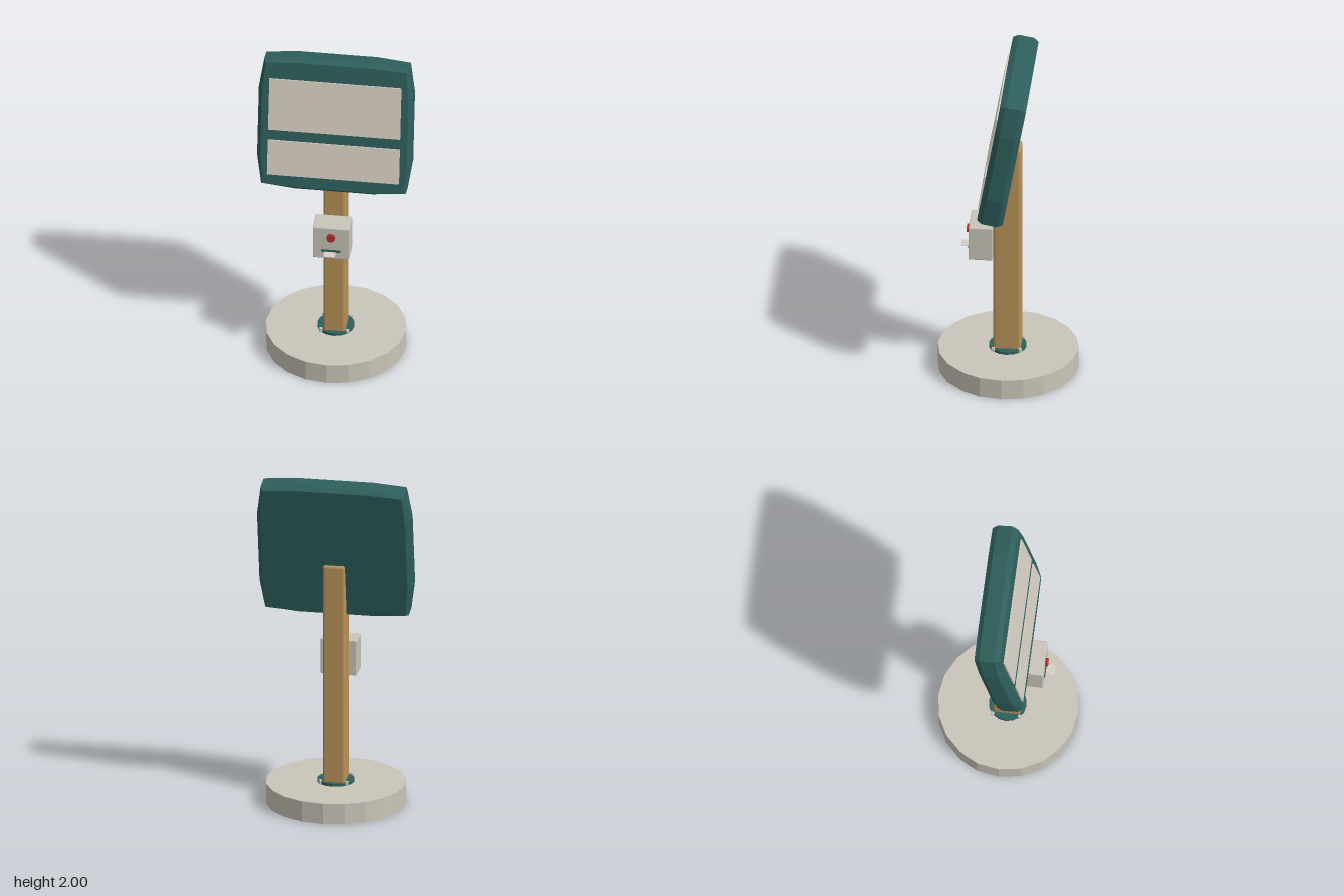
import * as THREE from 'three';
import { RoundedBoxGeometry } from 'three/addons/geometries/RoundedBoxGeometry.js';

const mat = (name, color) => {
  const m = new THREE.MeshStandardMaterial({ color });
  m.name = name;
  return m;
};

// Flat facets
function facet(geo) {
  const g = geo.index ? geo.toNonIndexed() : geo;
  g.computeVertexNormals();
  return g;
}

// Twelve-point outline mirrored from one quarter, counter-clockwise
function outline(quarter) {
  const back = [...quarter].reverse();
  return [
    ...quarter,
    ...back.map(([x, y]) => [-x, y]),
    ...quarter.map(([x, y]) => [-x, -y]),
    ...back.map(([x, y]) => [x, -y]),
  ];
}

// Closed solid through outlines stacked along z
function loft(rings) {
  const pos = [];
  const n = rings[0].pts.length;
  const at = (r, i) => [...rings[r].pts[i % n], rings[r].z];
  const tri = (a, b, c) => pos.push(...a, ...b, ...c);
  const last = rings.length - 1;
  for (let i = 0; i < n; i++) {
    for (let r = 0; r < last; r++) {
      tri(at(r, i), at(r, i + 1), at(r + 1, i + 1));
      tri(at(r, i), at(r + 1, i + 1), at(r + 1, i));
    }
    tri([0, 0, rings[last].z], at(last, i), at(last, i + 1));
    tri([0, 0, rings[0].z], at(0, i + 1), at(0, i));
  }
  const g = new THREE.BufferGeometry();
  g.setAttribute('position', new THREE.Float32BufferAttribute(pos, 3));
  return facet(g);
}

export function createModel() {
  const model = new THREE.Group();
  model.name = 'signPost';
  const stone = mat('stone', 0xc9c5b9);
  const teal = mat('teal', 0x2e5f5c);
  const wood = mat('wood', 0xb9935a);
  const cream = mat('cream', 0xd6cfc3);
  const red = mat('red', 0xb5302a);

  const add = (parent, name, geo, material, x, y, z) => {
    const mesh = new THREE.Mesh(geo, material);
    mesh.name = name;
    mesh.position.set(x, y, z);
    parent.add(mesh);
    return mesh;
  };

  // Base, collar and bolts
  add(model, 'base', facet(new THREE.CylinderGeometry(0.413, 0.413, 0.125, 20)), stone, 0, 0.0625, 0);
  add(model, 'collar', facet(new THREE.CylinderGeometry(0.11, 0.11, 0.016, 16)), teal, 0, 0.133, 0);
  for (const sx of [-1, 1]) {
    for (const sz of [-1, 1]) {
      add(model, 'bolt', facet(new THREE.CylinderGeometry(0.011, 0.011, 0.022, 6)), stone, sx * 0.079, 0.141, sz * 0.079);
    }
  }

  // Post
  add(model, 'post', facet(new RoundedBoxGeometry(0.13, 1.35, 0.16, 1, 0.012)), wood, 0, 0.805, 0);

  // Tilted sign board with chamfered rims
  const board = new THREE.Group();
  board.name = 'signBoard';
  board.position.y = 1.575;
  board.rotation.x = THREE.MathUtils.degToRad(-10);
  model.add(board);
  const rim = outline([[0.455, 0.22], [0.427, 0.404], [0.23, 0.423]]);
  const face = outline([[0.432, 0.22], [0.414, 0.39], [0.23, 0.402]]);
  add(board, 'boardBody', loft([
    { pts: face, z: -0.076 },
    { pts: rim, z: -0.045 },
    { pts: rim, z: 0.045 },
    { pts: face, z: 0.076 },
  ]), teal, 0, 0, 0);
  add(board, 'upperPanel', new THREE.BoxGeometry(0.78, 0.33, 0.009), cream, 0, 0.126, 0.0802);
  add(board, 'lowerPanel', new THREE.BoxGeometry(0.78, 0.223, 0.009), cream, 0, -0.217, 0.0802);

  // Control box with button, slot and ticket
  add(model, 'controlBox', facet(new RoundedBoxGeometry(0.216, 0.215, 0.14, 1, 0.005)), stone, 0, 0.8625, 0.15);
  const button = add(model, 'button', new THREE.CylinderGeometry(0.025, 0.025, 0.02, 12), red, 0, 0.908, 0.228);
  button.rotation.x = Math.PI / 2;
  add(model, 'slot', new THREE.BoxGeometry(0.114, 0.014, 0.008), teal, 0, 0.811, 0.222);
  add(model, 'ticket', new THREE.BoxGeometry(0.068, 0.003, 0.06), cream, -0.004, 0.805, 0.247);

  return model;
}
